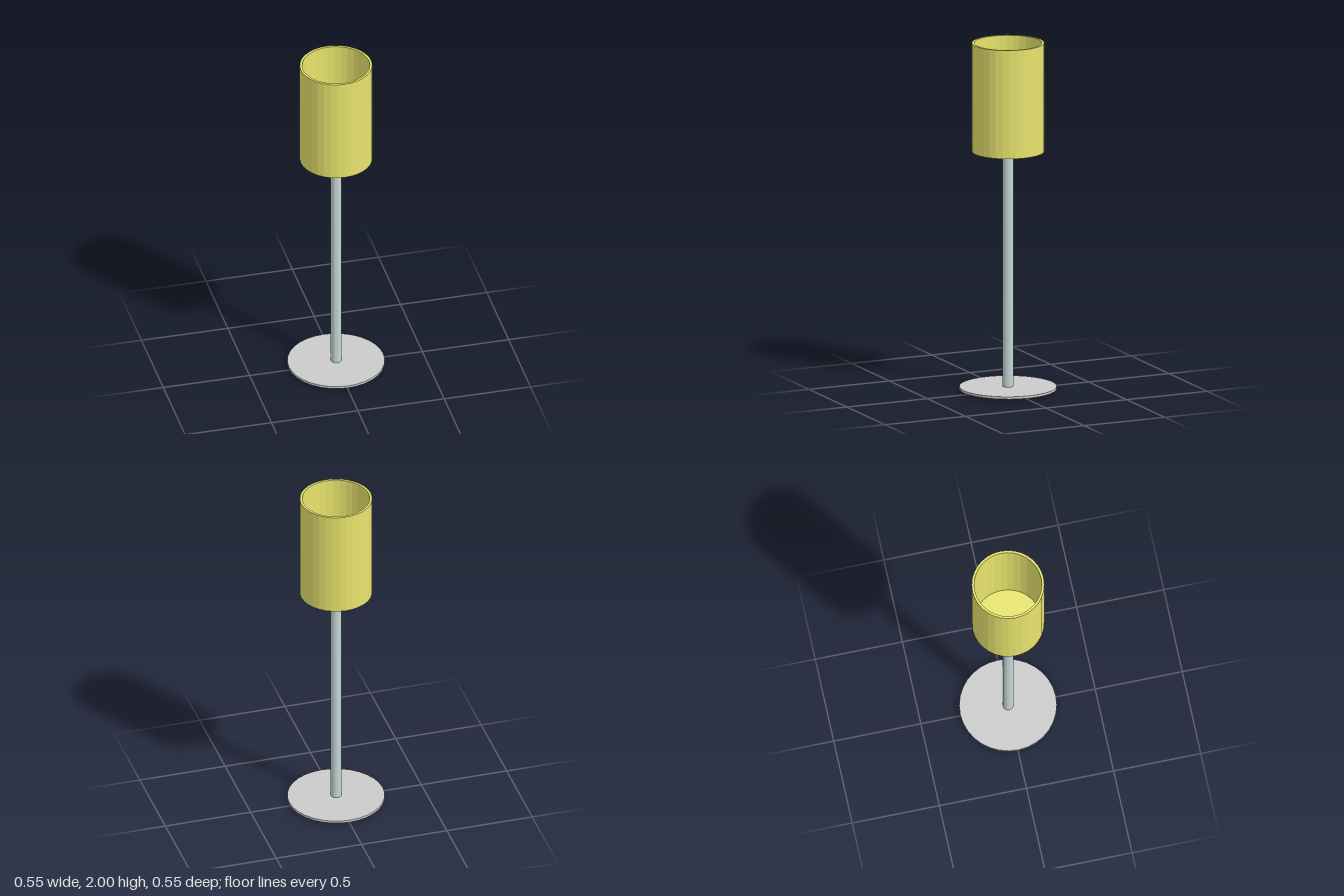
import * as THREE from 'three';

const SIDES = 32;

function addPart(group, name, geometry, color) {
  const material = new THREE.MeshStandardMaterial({ color, flatShading: true });
  const mesh = new THREE.Mesh(geometry, material);
  mesh.name = name;
  group.add(mesh);
  return mesh;
}

export function createModel() {
  const group = new THREE.Group();
  group.name = 'cupOnStem';

  // Thin foot disc
  const base = addPart(group, 'base', new THREE.CylinderGeometry(0.274, 0.274, 0.014, SIDES), 0xcccccc);
  base.position.y = 0.017;

  // Slim stem, reaching slightly below the foot and up to the cup floor
  const stem = addPart(group, 'stem', new THREE.CylinderGeometry(0.03, 0.03, 1.38, 16), 0xc4d8d4);
  stem.position.y = 0.69;

  // Open cup: closed floor, straight wall, flat rim and hollow inside
  const profile = [
    [0, 1.376], [0.204, 1.376], [0.204, 2], [0.19, 2], [0.19, 1.39], [0, 1.39],
  ].map(([r, y]) => new THREE.Vector2(r, y));
  addPart(group, 'cup', new THREE.LatheGeometry(profile, SIDES), 0xe8e56e);

  return group;
}
